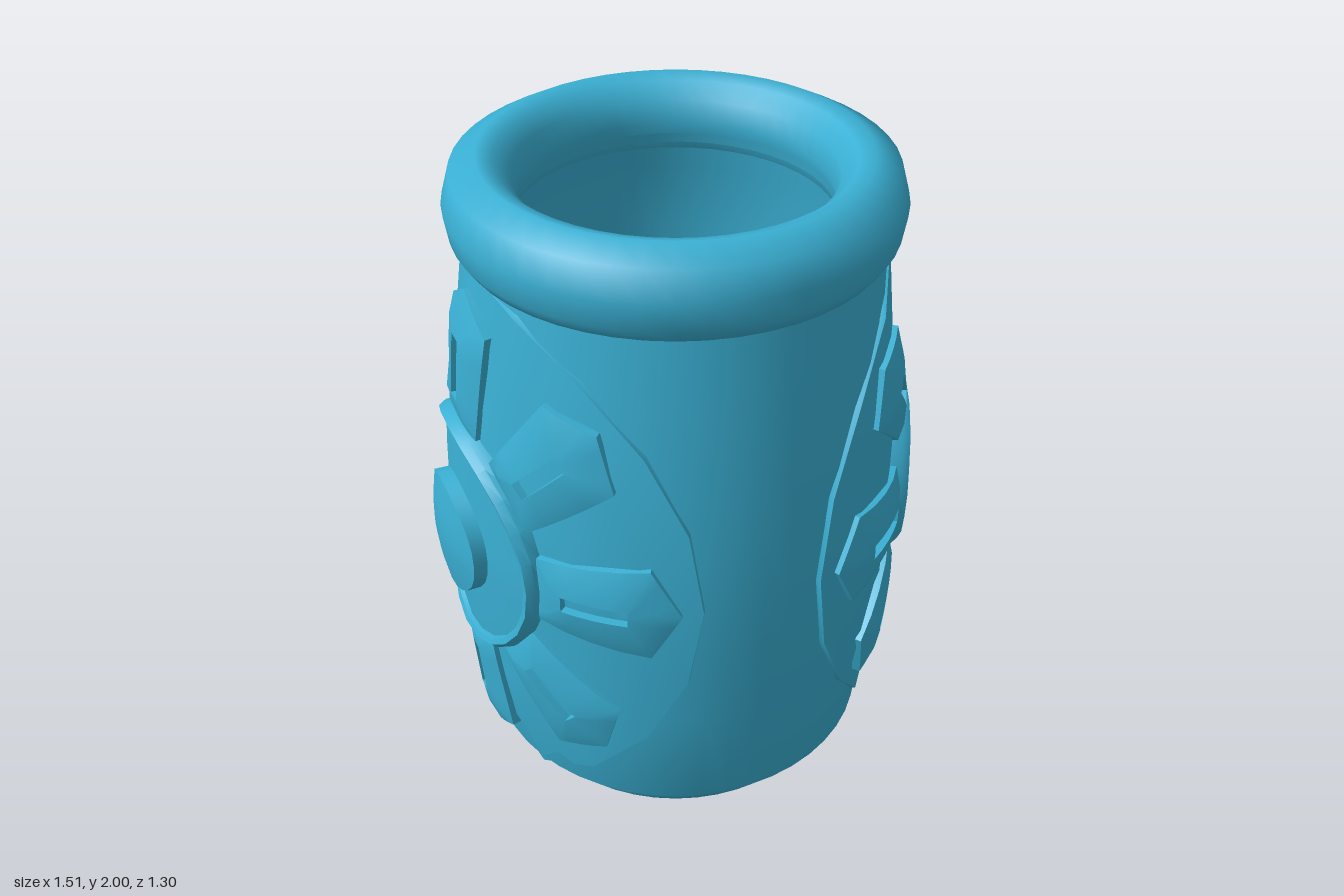
import * as THREE from 'three';
import { toCreasedNormals } from 'three/addons/utils/BufferGeometryUtils.js';

const material = new THREE.MeshStandardMaterial({ color: 0x3ab0d4 });
const CENTER_Y = 0.9;

// Outer wall of the jar as [radius, height]
const wall = [[0.51, 0], [0.6, 0.11], [0.63, 0.45], [0.645, 0.7], [0.65, 0.9],
  [0.645, 1.08], [0.635, 1.25], [0.615, 1.5], [0.585, 1.76]];

function wallRadius(y) {
  for (let i = 1; i < wall.length; i++) {
    const [r0, y0] = wall[i - 1], [r1, y1] = wall[i];
    if (y <= y1) return r0 + (r1 - r0) * Math.max(0, (y - y0) / (y1 - y0));
  }
  return wall[wall.length - 1][0];
}

// Bend a flat point (u across, v up, w outward) round the jar, facing +x
function wrap([u, v, w]) {
  const y = Math.max(0.01, CENTER_Y + v), r = wallRadius(y) + w, a = u / 0.66;
  return [r * Math.cos(a), y, -r * Math.sin(a)];
}

// Skin a row of equal-length closed loops, wrapped on the jar
function loft(loops, crease) {
  const n = loops[0].length;
  const index = [];
  for (let j = 0; j < loops.length - 1; j++) {
    for (let i = 0; i < n; i++) {
      const k = (i + 1) % n;
      const a = j * n + i, b = j * n + k, c = b + n, d = a + n;
      index.push(a, b, c, a, c, d);
    }
  }
  const g = new THREE.BufferGeometry();
  g.setAttribute('position', new THREE.Float32BufferAttribute(loops.flat().flatMap(wrap), 3));
  g.setIndex(index);
  return toCreasedNormals(g, crease);
}

// Round relief from a [radius, height] profile
function roundRelief(profile, sides, crease) {
  return loft(profile.map(([r, w]) => Array.from({ length: sides }, (_, i) => {
    const a = (i / sides) * Math.PI * 2;
    return [r * Math.sin(-a), r * Math.cos(a), w];
  })), crease);
}

// Split each side of a closed outline into short steps
function subdivide(corners, steps) {
  return corners.flatMap(([x, y], i) => {
    const [x2, y2] = corners[(i + 1) % corners.length];
    return Array.from({ length: steps }, (_, s) => [x + (x2 - x) * s / steps, y + (y2 - y) * s / steps]);
  });
}

// Flared petal with a pointed tip, rising to a sunken slot
const petalOutline = subdivide([[0.11, 0.37], [0.155, 0.71], [0, 0.795], [-0.155, 0.71], [-0.11, 0.37], [0, 0.37]], 4);
const slotOutline = subdivide([[0.025, 0.46], [0.025, 0.65], [0, 0.65], [-0.025, 0.65], [-0.025, 0.46], [0, 0.46]], 4);

function petalGeometry(angle) {
  const c = Math.cos(angle), s = Math.sin(angle);
  const loop = (t, w, squash = 1) => petalOutline.map(([x, y], i) => {
    const px = (x + (slotOutline[i][0] - x) * t) * squash;
    const py = y + (slotOutline[i][1] - y) * t;
    return [px * c - py * s, px * s + py * c, w];
  });
  return loft([loop(0, 0), loop(0, 0.028), loop(0.5, 0.045), loop(1, 0.05), loop(1, 0.025), loop(1, 0.025, 0)], 0.6);
}

function lathe(points, name) {
  const g = new THREE.LatheGeometry(points.map(([x, y]) => new THREE.Vector2(x, y)), 48);
  return named(g, name);
}

function named(geometry, name) {
  const mesh = new THREE.Mesh(geometry, material);
  mesh.name = name;
  return mesh;
}

function createMedallion(name) {
  const group = new THREE.Group();
  group.name = name;
  group.add(named(roundRelief([[0.86, 0], [0.855, 0.015], [0.7, 0.015], [0.5, 0.015], [0.3, 0.015]], 20, 0.6), 'backplate'));
  group.add(named(roundRelief([[0.385, 0], [0.38, 0.045], [0.362, 0.066], [0.345, 0.058], [0.342, 0.045],
    [0.26, 0.045], [0.17, 0.045]], 24, 0.7), 'medallionRing'));
  group.add(named(roundRelief([[0.185, 0.03], [0.18, 0.088], [0.12, 0.098], [0.06, 0.104], [0, 0.105]], 24, 0.7), 'hub'));
  for (let i = 0; i < 8; i++) group.add(named(petalGeometry((i * Math.PI) / 4), 'petal'));
  return group;
}

export function createModel() {
  const model = new THREE.Group();
  model.name = 'jar';

  model.add(lathe([[0, 0], ...wall], 'body'));
  model.add(lathe([[0.58, 1.745], [0.605, 1.75], [0.632, 1.79], [0.645, 1.87], [0.62, 1.96], [0.545, 2],
    [0.5, 1.985], [0.455, 1.94], [0.44, 1.87], [0.455, 1.79], [0.5, 1.745], [0.58, 1.745]], 'rim'));
  model.add(lathe([[0.445, 1.84], [0.47, 1.72], [0.51, 1.5], [0.54, 0.9], [0.5, 0.16], [0, 0.1]], 'interior'));

  // One medallion on each side
  const left = createMedallion('leftMedallion');
  const right = createMedallion('rightMedallion');
  right.rotation.y = Math.PI;
  model.add(left, right);
  return model;
}
